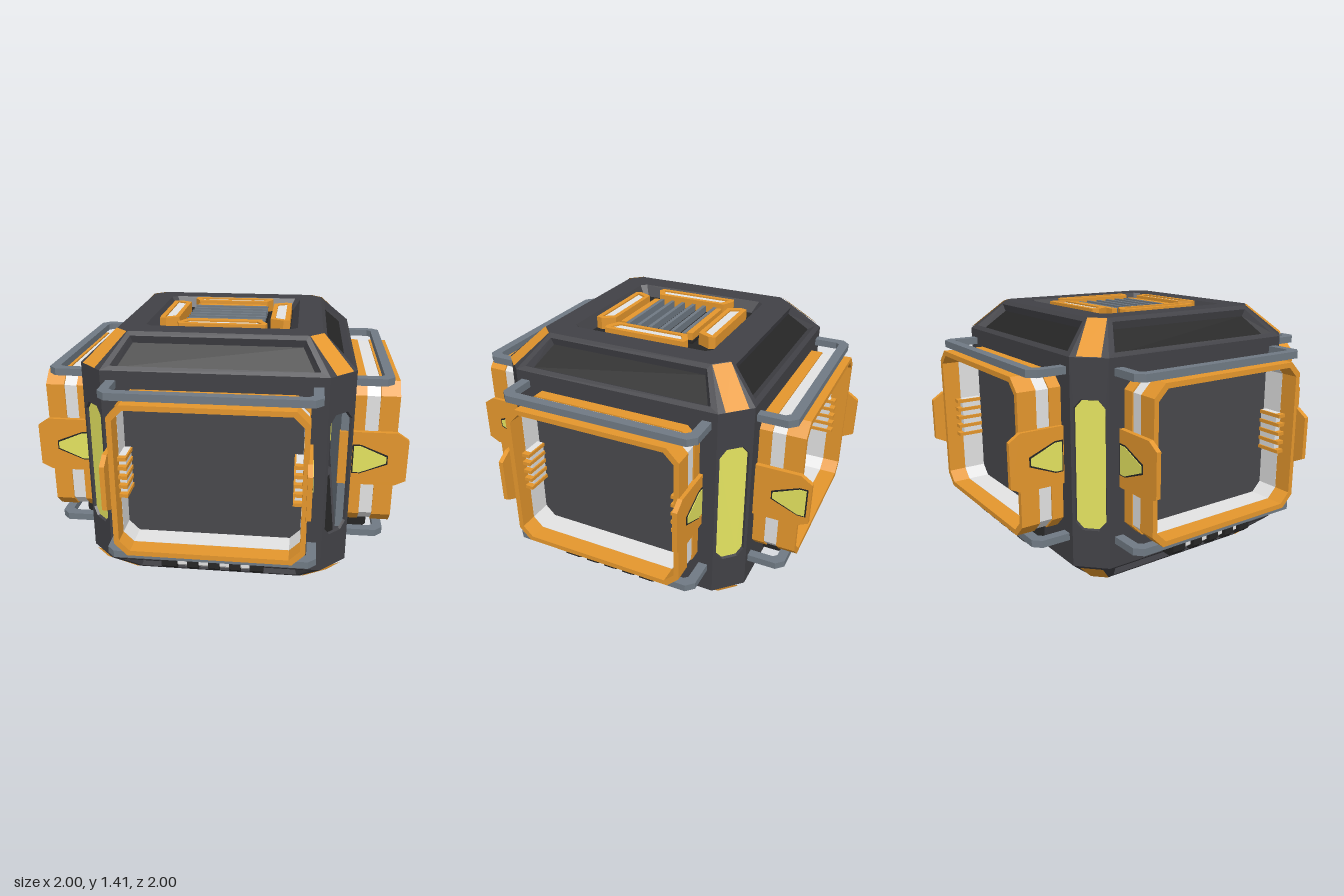
import * as THREE from 'three';

const mat = (name, color) => Object.assign(
  new THREE.MeshStandardMaterial({ color, side: THREE.DoubleSide, flatShading: true }), { name });
const M = {
  body: mat('charcoal shell', 0x414146),
  panel: mat('slate panel', 0x48484c),
  black: mat('recess black', 0x262626),
  rail: mat('steel grey', 0x707a84),
  orange: mat('safety orange', 0xe5972d),
  white: mat('light grey', 0xe3e3e3),
  lime: mat('lime lamp', 0xe5e460),
};
const V = (x, y, z) => new THREE.Vector3(x, y, z);
const H = 1.4, MID = 0.74;

function add(parent, name, geo, m, x = 0, y = 0, z = 0) {
  const mesh = new THREE.Mesh(geo, m);
  mesh.name = name;
  mesh.position.set(x, y, z);
  parent.add(mesh);
}
const box = (parent, name, m, w, h, d, x, y, z) => add(parent, name, new THREE.BoxGeometry(w, h, d), m, x, y, z);

function fromTriangles(points) {
  const g = new THREE.BufferGeometry().setFromPoints(points);
  g.computeVertexNormals();
  return g;
}
// strips joining consecutive loops of equal length
function bands(...loops) {
  const p = [];
  for (let k = 0; k + 1 < loops.length; k++) {
    const a = loops[k], b = loops[k + 1];
    a.forEach((_, i) => {
      const j = (i + 1) % a.length;
      if (a[i].distanceTo(a[j]) > 1e-6) p.push(a[i], a[j], b[j]);
      p.push(a[i], b[j], b[i]);
    });
  }
  return fromTriangles(p);
}
// flat convex polygon
function fill(loop) {
  const p = [];
  for (let i = 1; i + 1 < loop.length; i++) p.push(loop[0], loop[i], loop[i + 1]);
  return fromTriangles(p);
}
// rectangle with cut corners as [x, y] pairs, counter-clockwise
function cutRect(w, h, cx, cy = cx) {
  return [[w - cx, -h], [w, -h + cy], [w, h - cy], [w - cx, h],
    [-w + cx, h], [-w, h - cy], [-w, -h + cy], [-w + cx, -h]];
}
const shapeOf = (pts) => new THREE.Shape(pts.map(([x, y]) => new THREE.Vector2(x, y)));
const extrude = (shape, depth) => new THREE.ExtrudeGeometry(shape, { depth, bevelEnabled: false });
// profile drawn in (z, y), extruded towards -x
const extrudeX = (pts, depth) => extrude(shapeOf(pts), depth).rotateY(-Math.PI / 2);
function ring(w, h, c, t, depth) {
  const s = shapeOf(cutRect(w, h, c));
  s.holes.push(shapeOf(cutRect(w - t, h - t, c - t * 0.4)));
  return extrude(s, depth);
}

// sloping face and corner piece, at the top or mirrored to the bottom
function bevel(side, flip) {
  const Y = (y) => (flip ? H - y : y);
  const at = (u, v, depth = 0) => {
    const half = 0.57 - 0.11 * v;
    return V(half * u, Y(1.24 + 0.16 * v - depth * 0.74), 0.705 - 0.175 * v - depth * 0.67);
  };
  const loop = (u, v0, v1, d) => [at(-u, v0, d), at(u, v0, d), at(u, v1, d), at(-u, v1, d)];
  const floor = loop(0.9, 0.18, 0.8, 0.035);
  add(side, 'bevelFrame', bands(loop(1, 0, 1), loop(0.94, 0.12, 0.88), floor), M.body);
  add(side, 'bevelRecess', fill(floor), M.black);
  add(side, 'cornerBase', fill([V(0.57, Y(1.24), 0.705), V(0.705, Y(1.24), 0.57),
    V(0.53, Y(H), 0.46), V(0.46, Y(H), 0.53)]), M.body);
  // orange guard plate just proud of the corner
  const e = 0.005;
  add(side, 'cornerGuard', fill([V(0.595 + e, Y(1.24 + e), 0.68 + e), V(0.68 + e, Y(1.24 + e), 0.595 + e),
    V(0.53 + e, Y(H), 0.46 + e), V(0.46 + e, Y(H), 0.53 + e)]), M.orange);
}

// upright chamfered edge with a lamp slot
function cornerPost(side, open) {
  const loop = (t, h, ct, cy, depth = 0) => cutRect(t, h, ct, cy).map(([a, y]) =>
    V(0.6375 + 0.0675 * a - depth, 0.7 + y, 0.6375 - 0.0675 * a - depth));
  const back = loop(0.78, 0.332, 0.36, 0.04, 0.01);
  add(side, 'cornerPost', bands(loop(1, 0.54, 0, 0), loop(0.82, 0.337, 0.37, 0.042), back), M.body);
  if (!open) add(side, 'cornerLamp', fill(back), M.lime);
}

function railGeometry() {
  const g = extrude(shapeOf([[-0.54, 0.69], [-0.54, 0.86], [-0.5, 0.9], [0.5, 0.9], [0.54, 0.86], [0.54, 0.69],
    [0.49, 0.69], [0.49, 0.83], [0.47, 0.85], [-0.47, 0.85], [-0.49, 0.83], [-0.49, 0.69]]), 0.038);
  return g.rotateX(Math.PI / 2);
}

// clamp plate with arrow lamp on one edge of the frame
function bracket(side, s, inward) {
  const plate = extrudeX([[0.64, 0.59], [0.94, 0.59], [1, 0.62], [1, 0.85], [0.94, 0.89], [0.64, 0.89]], 0.025);
  add(side, 'clampPlate', plate, M.orange, s > 0 ? 0.502 : -0.487);
  const arrow = (o) => [[0.718 - o, 0.662 - o], [0.755, 0.662 - o], [0.89 + o, 0.72 - o],
    [0.89 + o, 0.755 + o], [0.755, 0.812 + o], [0.718 - o, 0.812 + o]]
    .map(([z, y]) => [inward ? 1.695 - z : z, y]);
  add(side, 'arrowBorder', extrudeX(arrow(0.007), 0.004), M.black, s > 0 ? 0.505 : -0.511);
  add(side, 'arrowLamp', extrudeX(arrow(0), 0.006), M.lime, s > 0 ? 0.508 : -0.512);
  // ribbed grip on the inner edge
  box(side, 'gripCore', M.white, 0.035, 0.22, 0.11, s * 0.438, MID, 0.795);
  for (let i = 0; i < 5; i++) {
    box(side, 'gripRib', M.orange, 0.06, 0.019, 0.14, s * 0.442, MID - 0.1 + i * 0.05, 0.81);
  }
}

function vent(side) {
  const slab = (name, m, x0, x1, o) => add(side, name, extrudeX([[0.69, 0.185], [0.8 - o, 0.185],
    [0.835 - o, 0.215], [0.835 - o, 0.28], [0.69, 0.28]], x1 - x0), m, x1);
  slab('ventCore', M.white, -0.2, 0.2, 0.025);
  slab('ventEnd', M.black, -0.265, -0.185, 0);
  slab('ventEnd', M.black, 0.2, 0.27, 0);
  for (let i = 0; i < 3; i++) slab('ventFin', M.black, -0.13 + i * 0.112, -0.072 + i * 0.112, 0);
}

function buildSide(k) {
  const side = new THREE.Group();
  side.name = ['frontSide', 'leftSide', 'backSide', 'rightSide'][k];
  side.rotation.y = k * Math.PI / 2;
  add(side, 'wall', fill([V(-0.57, 0.16, 0.705), V(0.57, 0.16, 0.705), V(0.57, 1.24, 0.705), V(-0.57, 1.24, 0.705)]), M.body);
  box(side, 'backingPlate', M.rail, 1, 0.84, 0.05, 0, MID, 0.67);
  bevel(side, false);
  bevel(side, true);
  cornerPost(side, k === 0);
  // deep window frame: orange, pale waist, orange rim
  add(side, 'frameBase', ring(0.483, 0.407, 0.065, 0.02, 0.07), M.orange, 0, MID, 0.7);
  add(side, 'frameWaist', ring(0.476, 0.4, 0.062, 0.021, 0.14), M.white, 0, MID, 0.705);
  add(side, 'frameRim', ring(0.483, 0.407, 0.065, 0.027, 0.1), M.orange, 0, MID, 0.84);
  add(side, 'recessedPanel', extrude(shapeOf(cutRect(0.46, 0.384, 0.055)), 0.015), M.panel, 0, MID, 0.71);
  for (const y of [1.191, 0.33]) add(side, 'guardRail', railGeometry(), M.rail, 0, y, 0);
  bracket(side, 1, false);
  bracket(side, -1, k === 2);
  vent(side);
  return side;
}

// horizontal cap with a shallow square well
function cap(group, name, y, dir) {
  const loop = (w, c, depth) => cutRect(w, w, c).map(([x, z]) => V(x, y - dir * depth, z));
  const floor = loop(0.36, 0.02, 0.06);
  add(group, name, bands(loop(0.53, 0.07, 0), loop(0.4, 0.03, 0), floor), M.body);
  add(group, name + 'Floor', fill(floor), M.black);
}

function hatch() {
  const g = new THREE.Group();
  g.name = 'topHatch';
  box(g, 'grilleBase', M.black, 0.44, 0.02, 0.44, 0, 1.345, 0);
  for (let i = 0; i < 6; i++) {
    box(g, 'grilleSlat', M.rail, 0.43, 0.045, 0.02, 0, 1.372, -0.167 + i * 0.067);
  }
  for (const s of [-1, 1]) box(g, 'grilleBar', M.orange, 0.41, 0.05, 0.034, 0, 1.37, s * 0.197);
  // four trapezoid light bars around the grille
  const outer = [[-0.205, 0.25], [0.205, 0.25], [0.24, 0.32], [0.23, 0.355], [-0.23, 0.355], [-0.24, 0.32]];
  const inner = [[-0.18, 0.275], [0.18, 0.275], [0.21, 0.328], [-0.21, 0.328]];
  for (let k = 0; k < 4; k++) {
    const bar = new THREE.Group();
    bar.name = 'lightBar';
    bar.rotation.y = k * Math.PI / 2;
    const s = shapeOf(outer);
    s.holes.push(shapeOf(inner));
    add(bar, 'lightBarFrame', extrude(s, 0.07).rotateX(Math.PI / 2), M.orange, 0, 1.406, 0);
    add(bar, 'lightBarLens', extrude(shapeOf(inner), 0.05).rotateX(Math.PI / 2), M.white, 0, 1.398, 0);
    g.add(bar);
  }
  return g;
}

export function createModel() {
  const model = new THREE.Group();
  model.name = 'containerCube';
  for (let k = 0; k < 4; k++) model.add(buildSide(k));
  cap(model, 'topCap', H, 1);
  cap(model, 'bottomCap', 0, -1);
  model.add(hatch());
  return model;
}
